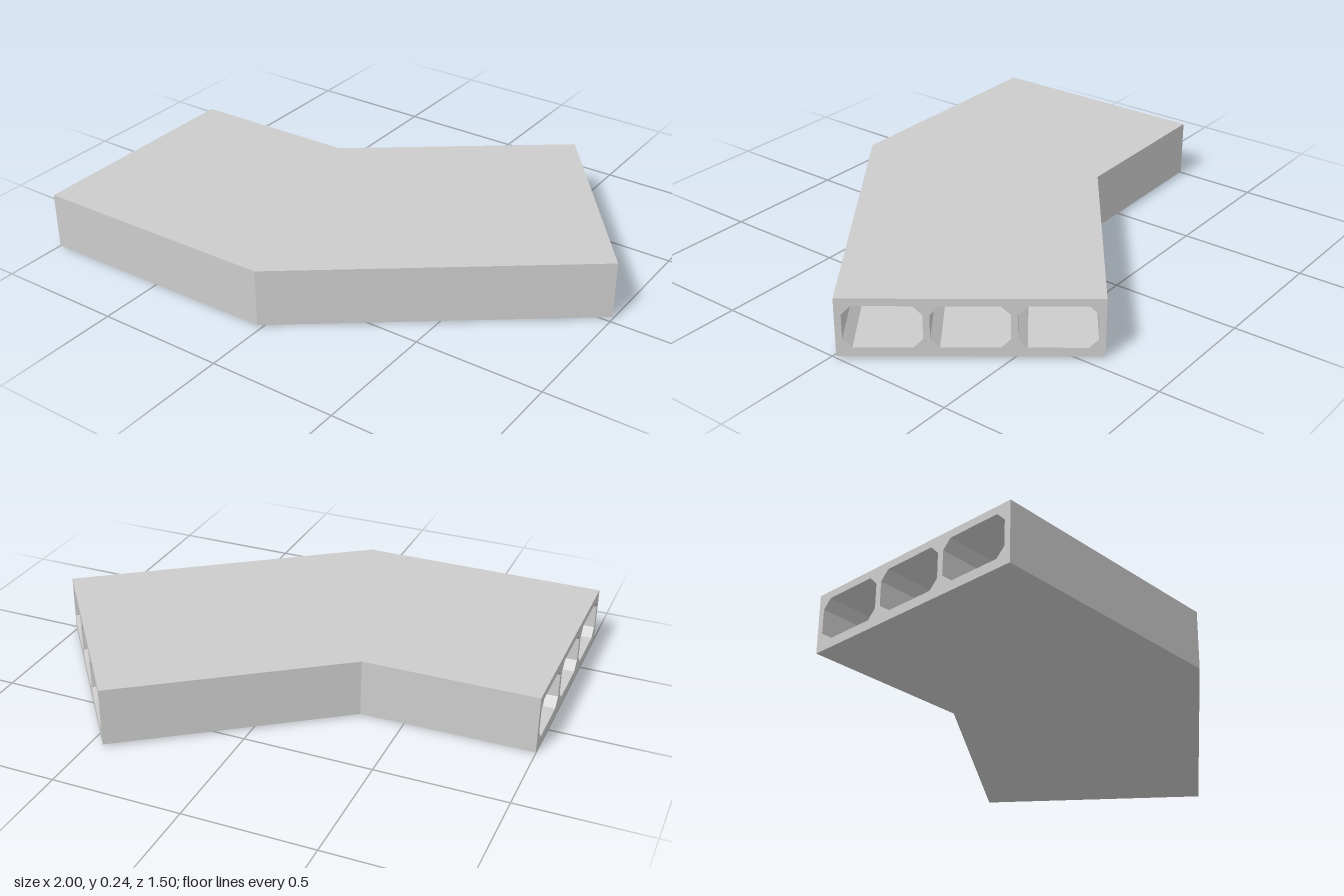
import * as THREE from 'three';

const HEIGHT = 0.226;

// Plan positions [x, z] of the front and back edge at each station along the duct
const STATIONS = [
  { front: [-1, 0.75], back: [-1, -0.17] },
  { front: [-0.02, 0.74], back: [-0.33, -0.18] },
  { front: [1, -0.02], back: [0.445, -0.75] },
];

// Chamfered channel opening; u runs 0..1 across the width
function channelHole(u0, u1, y0, y1) {
  const cu = 0.036, cy = 0.034;
  return new THREE.Path([
    [u0 + cu, y0], [u0, y0 + cy], [u0, y1 - cy], [u0 + cu, y1],
    [u1 - cu, y1], [u1, y1 - cy], [u1, y0 + cy], [u1 - cu, y0],
  ].map(([u, y]) => new THREE.Vector2(u, y)));
}

export function createModel() {
  const model = new THREE.Group();
  model.name = 'bentDuct';
  const concrete = new THREE.MeshStandardMaterial({ color: 0xcccccc });
  concrete.name = 'lightGrey';

  // Rectangular section with three channels
  const section = new THREE.Shape([
    new THREE.Vector2(0, 0), new THREE.Vector2(1, 0),
    new THREE.Vector2(1, HEIGHT), new THREE.Vector2(0, HEIGHT),
  ]);
  const wall = 0.026, width = (1 - 4 * wall) / 3;
  for (let i = 0; i < 3; i++) {
    const u = wall + i * (width + wall);
    section.holes.push(channelHole(u, u + width, 0.035, HEIGHT - 0.029));
  }

  // Sweep through the three stations, mitred at the bend
  const geometry = new THREE.ExtrudeGeometry(section, { depth: 2, steps: 2, bevelEnabled: false });
  const p = geometry.attributes.position;
  for (let i = 0; i < p.count; i++) {
    const { front, back } = STATIONS[Math.round(p.getZ(i))];
    const u = p.getX(i);
    const x = THREE.MathUtils.lerp(front[0], back[0], u);
    const z = THREE.MathUtils.lerp(front[1], back[1], u);
    // very slight tilt of the whole slab
    const tilt = 0.003 * (x + 1) + 0.0035 * (0.75 - z);
    p.setXYZ(i, x, p.getY(i) + tilt, z);
  }
  geometry.computeVertexNormals();

  const duct = new THREE.Mesh(geometry, concrete);
  duct.name = 'ductBody';
  model.add(duct);
  return model;
}
